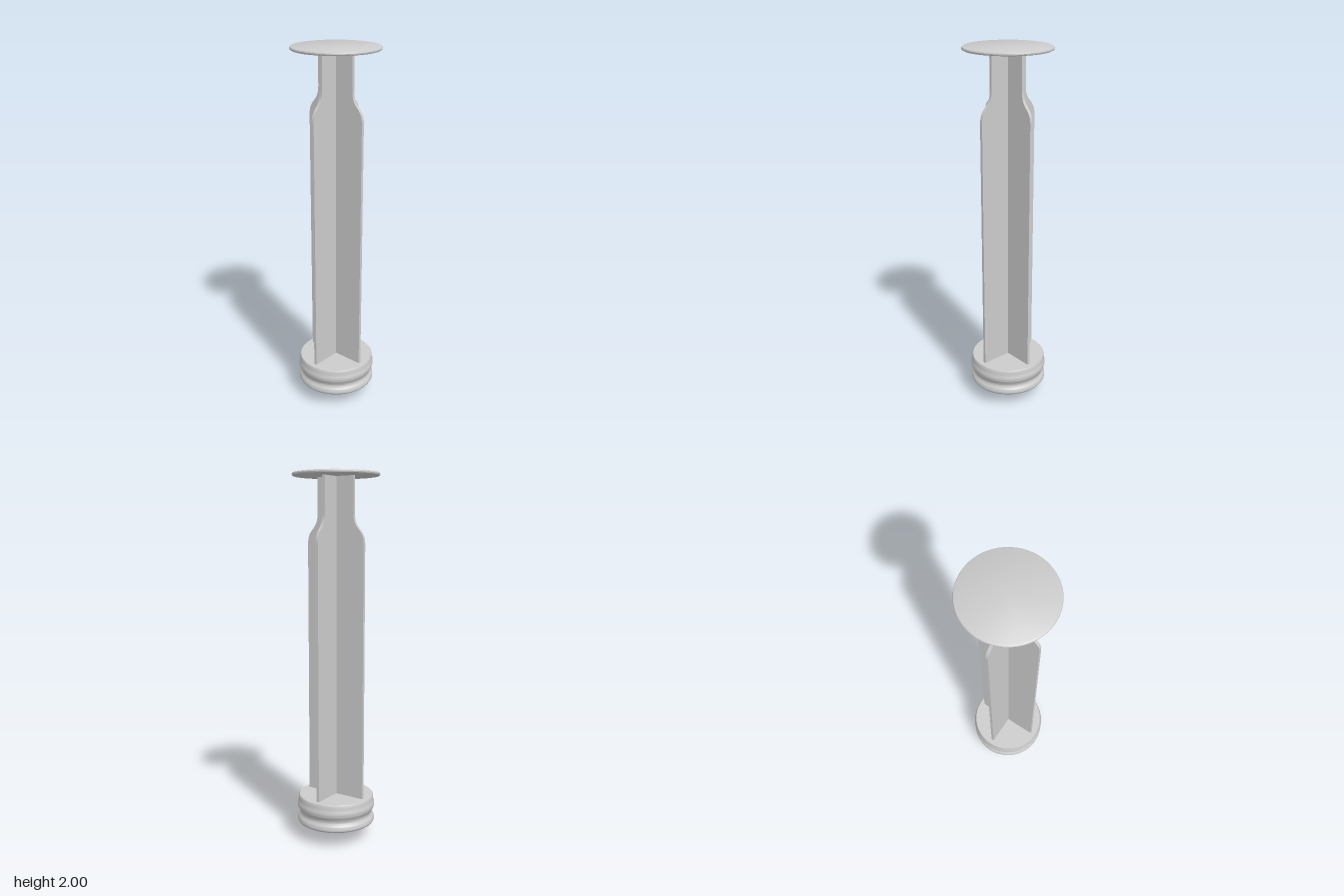
import * as THREE from 'three';
import { toCreasedNormals } from 'three/addons/utils/BufferGeometryUtils.js';

export function createModel() {
  const group = new THREE.Group();
  group.name = 'plunger';
  const material = new THREE.MeshStandardMaterial({ color: 0xcccccc });

  const add = (name, geometry) => {
    const mesh = new THREE.Mesh(geometry, material);
    mesh.name = name;
    group.add(mesh);
    return mesh;
  };
  const lathe = (points) => toCreasedNormals(
    new THREE.LatheGeometry(points.map(([r, y]) => new THREE.Vector2(r, y)), 64), 0.6);

  // Thumb disc with a softened rim
  add('thumbDisc', lathe([
    [0, 1.982], [0.224, 1.982], [0.23, 1.985], [0.232, 1.991],
    [0.23, 1.997], [0.224, 2], [0, 2],
  ]));

  // Cross-shaped shaft: two crossed fins, narrowing to a neck below the disc
  const neck = 0.114, wide = 0.178, thick = 0.016;
  const fin = new THREE.Shape();
  fin.moveTo(-wide, 0.235);
  fin.lineTo(wide, 0.235);
  fin.lineTo(wide, 1.63);
  fin.bezierCurveTo(wide, 1.72, neck, 1.7, neck, 1.79);
  fin.lineTo(neck, 1.985);
  fin.lineTo(-neck, 1.985);
  fin.lineTo(-neck, 1.79);
  fin.bezierCurveTo(-neck, 1.7, -wide, 1.72, -wide, 1.63);
  fin.closePath();
  const finGeometry = new THREE.ExtrudeGeometry(fin, { depth: thick, bevelEnabled: false, curveSegments: 16 });
  finGeometry.translate(0, 0, -thick / 2);
  const creasedFin = toCreasedNormals(finGeometry, 0.6);
  add('sideFins', creasedFin);
  add('frontBackFins', creasedFin).rotation.y = Math.PI / 2;

  // Rubber stopper: conical tip, two sealing ribs with a groove between, flat top
  const ribs = new THREE.SplineCurve([
    [0.209, 0.092], [0.215, 0.102], [0.213, 0.12], [0.202, 0.138], [0.202, 0.155],
    [0.213, 0.175], [0.216, 0.195], [0.211, 0.215], [0.208, 0.24],
  ].map(([r, y]) => new THREE.Vector2(r, y))).getPoints(32).map((p) => [p.x, p.y]);
  add('stopper', lathe([[0, 0], ...ribs, [0.204, 0.245], [0, 0.245]]));

  return group;
}
